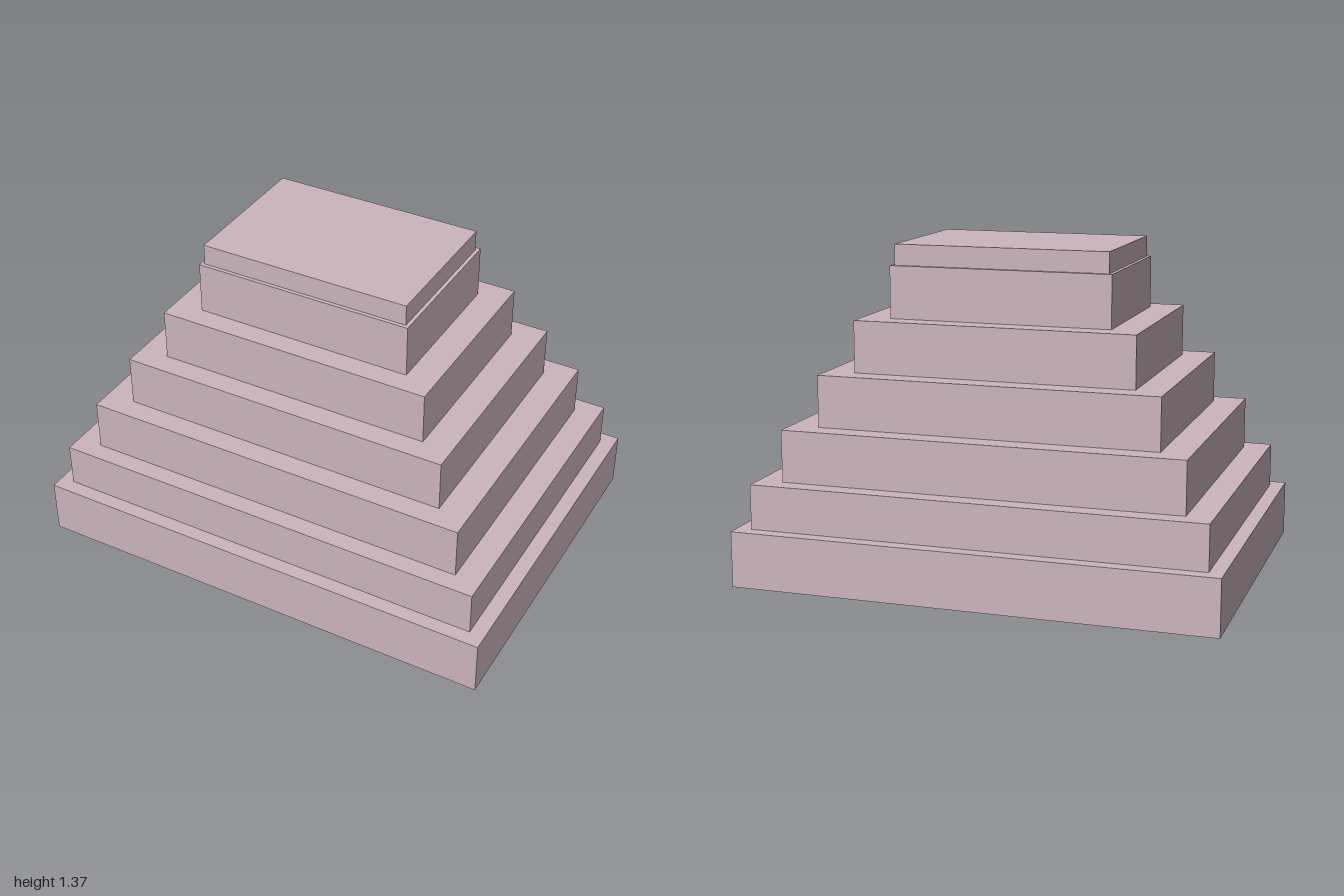
import * as THREE from 'three';

// Stepped pyramid: each tier is [name, width, depth, bottom, top]
const TIERS = [
  ['baseTier', 2.0, 1.472, 0, 0.232],
  ['secondTier', 1.878, 1.353, 0.232, 0.418],
  ['thirdTier', 1.664, 1.198, 0.418, 0.634],
  ['fourthTier', 1.418, 1.014, 0.634, 0.849],
  ['fifthTier', 1.172, 0.828, 0.849, 1.064],
  ['sixthTier', 0.926, 0.646, 1.064, 1.28],
  ['topSlab', 0.895, 0.614, 1.28, 1.366],
];

export function createModel() {
  const model = new THREE.Group();
  model.name = 'steppedPyramid';
  const stone = new THREE.MeshStandardMaterial({ color: 0xcbb5bc });
  stone.name = 'dusty pink stone';

  TIERS.forEach(([name, width, depth, bottom, top], i) => {
    const tier = new THREE.Mesh(new THREE.BoxGeometry(width, top - bottom, depth), stone);
    tier.name = name;
    // Upper tiers sit very slightly off the centre of the base
    const shift = i === 0 ? 0 : -0.002;
    tier.position.set(shift, (bottom + top) / 2, shift);
    model.add(tier);
  });
  return model;
}
